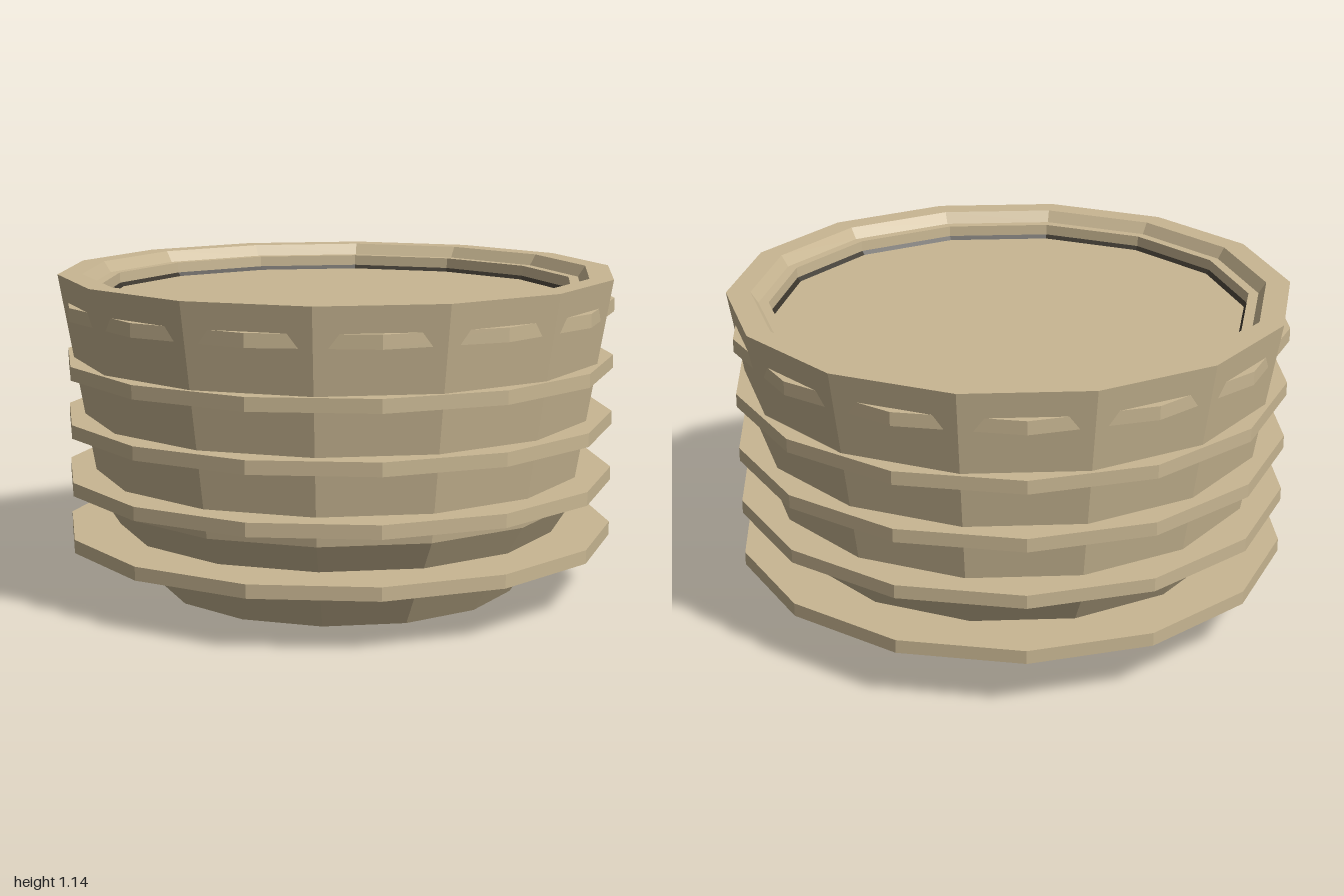
import * as THREE from 'three';

const SIDES = 14;

export function createModel() {
  const group = new THREE.Group();
  group.name = 'ribbedBowl';

  const clay = new THREE.MeshStandardMaterial({ color: 0xc8b692, flatShading: true });
  clay.name = 'tan clay';
  const dark = new THREE.MeshStandardMaterial({ color: 0x38332a, flatShading: true });
  dark.name = 'dark lining';

  const add = (name, geometry, material, y = 0) => {
    const mesh = new THREE.Mesh(geometry, material);
    mesh.name = name;
    mesh.position.y = y;
    group.add(mesh);
  };

  // Faceted lathe with corners on the x axis
  const lathe = (points) => new THREE.LatheGeometry(
    points.map(([r, y]) => new THREE.Vector2(r, y)), SIDES, Math.PI / 2);

  // Body: base, flared foot, wall, rim and stepped inner lip
  add('bowlBody', lathe([
    [0, 0], [0.65, 0], [0.86, 0.33], [1, 1.14],
    [0.914, 1.14], [0.888, 1.1], [0.852, 1.1], [0.85, 1.062],
  ]), clay);

  // Dark band where the lip meets the top disc
  add('innerLining', lathe([[0.85, 1.062], [0.834, 1.045]]), dark);

  // Five equal discs through the body, turned half a facet; the top one closes the bowl
  for (let i = 0; i < 5; i++) {
    add(`ringDisc${i + 1}`, new THREE.CylinderGeometry(0.99, 0.99, 0.048, SIDES), clay, 0.205 + i * 0.205);
  }

  return group;
}
